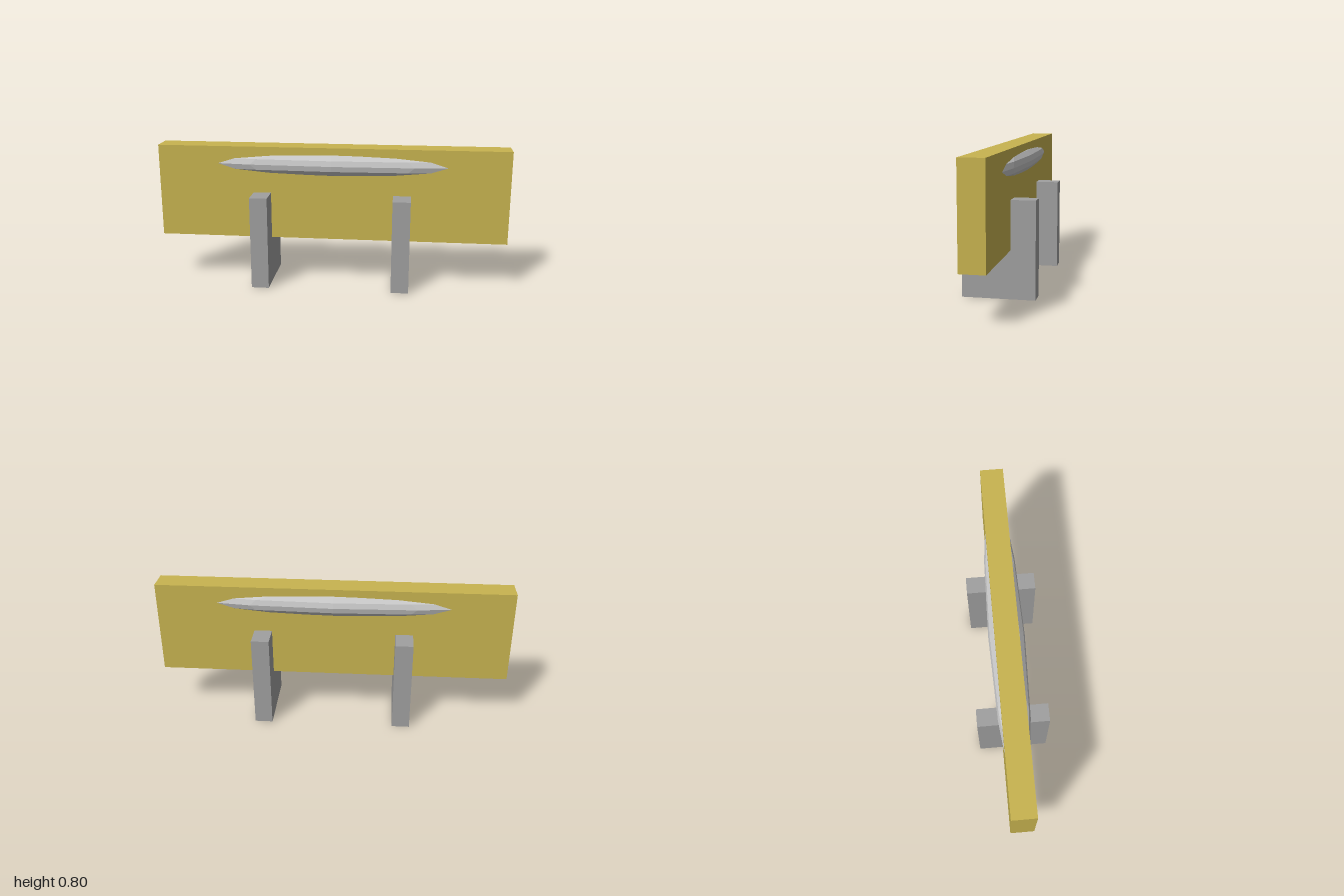
import * as THREE from 'three';

export function createModel() {
  const model = new THREE.Group();
  const material = (name, color, flatShading = false) => {
    const m = new THREE.MeshStandardMaterial({ color, flatShading });
    m.name = name;
    return m;
  };
  const gold = material('gold', 0xc8b450);
  const grey = material('grey', 0xa0a0a0);
  const silver = material('silver', 0xc8c8c8, true);

  const add = (name, geometry, mat, x, y, z) => {
    const mesh = new THREE.Mesh(geometry, mat);
    mesh.name = name;
    mesh.position.set(x, y, z);
    model.add(mesh);
  };

  // Upright board
  add('board', new THREE.BoxGeometry(2, 0.533, 0.133), gold, 0, 0.533, 0);

  // Two feet slotted across the board
  for (const [name, side] of [['leftFoot', 1], ['rightFoot', -1]]) {
    add(name, new THREE.BoxGeometry(0.1, 0.533, 0.4), grey, side * 0.4, 0.2667, 0);
  }

  // Faceted, stretched lens bulging through both faces of the board
  const lens = new THREE.SphereGeometry(1, 12, 8).scale(0.933, 0.08, 0.1);
  add('lens', lens, silver, 0, 0.7, 0);

  return model;
}
